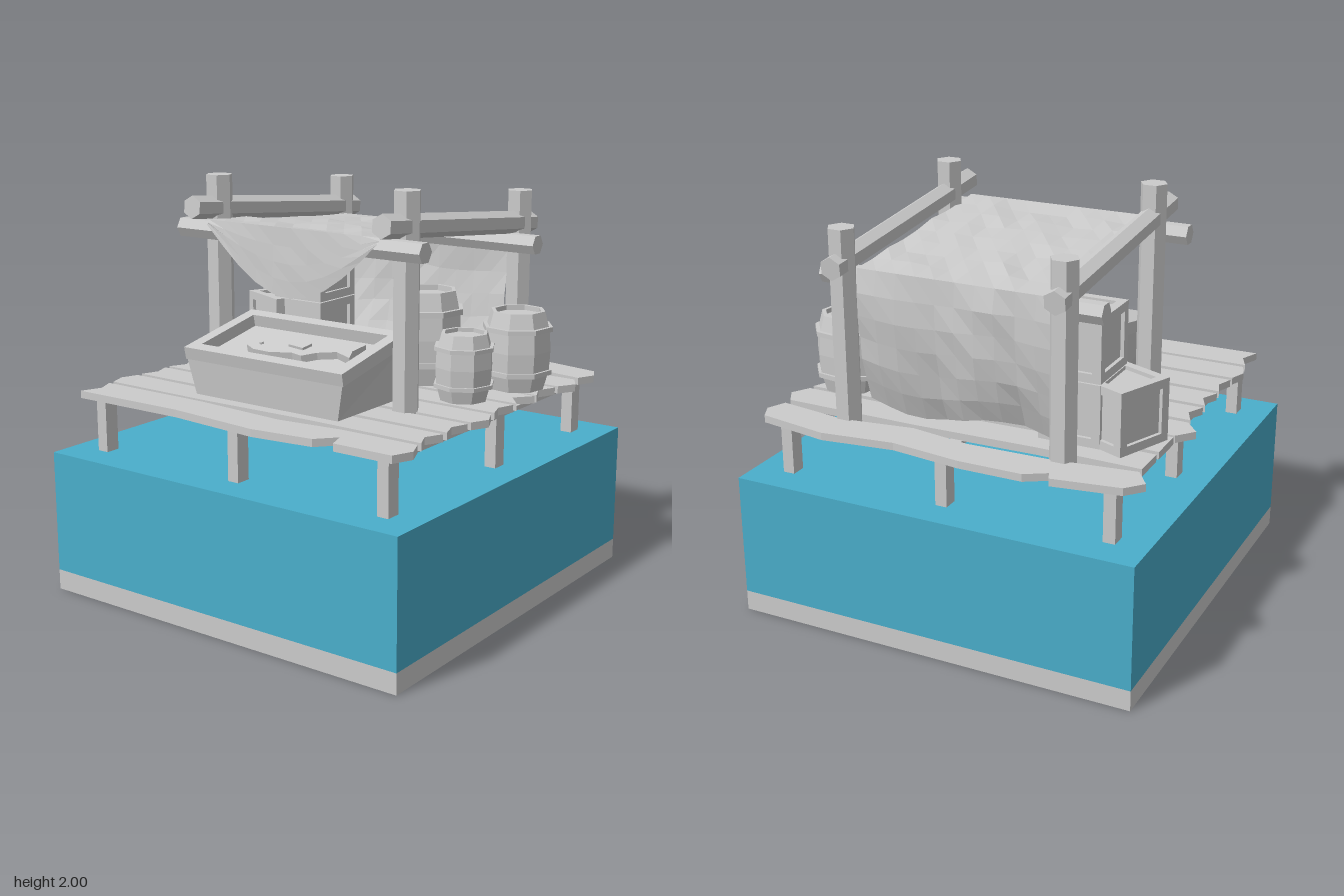
import * as THREE from 'three';

const grey = new THREE.MeshStandardMaterial({ color: 0xcccccc, flatShading: true });
const blue = new THREE.MeshStandardMaterial({ color: 0x4aaecb, flatShading: true });
const cloth = new THREE.MeshStandardMaterial({ color: 0xcccccc, flatShading: true, side: THREE.DoubleSide });

export function createModel() {
  const model = new THREE.Group();
  const add = (name, geo, x = 0, y = 0, z = 0, parent = model, mat = grey) => {
    const m = new THREE.Mesh(geo, mat);
    m.name = name;
    m.position.set(x, y, z);
    parent.add(m);
    return m;
  };
  const box = (w, h, d) => new THREE.BoxGeometry(w, h, d);
  const shapeOf = (pts) => new THREE.Shape(pts.map((p) => new THREE.Vector2(p[0], p[1])));
  // Flat slab drawn in x/z, with its top at y = 0
  const slab = (shape, depth) =>
    new THREE.ExtrudeGeometry(shape, { depth, bevelEnabled: false }).rotateX(Math.PI / 2);

  // Ground and water block
  add('seabed', box(2, 0.1, 2), 0, 0.05, 0);
  add('water', box(2, 0.6, 2), 0, 0.4, 0, model, blue);

  // Pilings and the joists they carry
  for (const x of [-0.82, 0, 0.82]) {
    for (const z of [-0.81, -0.065, 0.81]) add('piling', box(0.058, 0.27, 0.075), x, 0.815, z);
    add('joist', box(x ? 0.078 : 0.06, 0.022, 1.66), x, 0.955, 0);
  }

  // Deck planks: near edge, far edge, and x of the middle of each end
  const planks = [
    [-0.69, -0.52, -0.9, 0.95], [-0.49, -0.31, -0.9, 0.86], [-0.29, -0.12, -0.97, 0.83],
    [-0.09, 0.08, -0.86, 0.87], [0.11, 0.28, -0.86, 0.94], [0.31, 0.48, -0.87, 0.87],
    [0.51, 0.68, -0.93, 0.86],
  ];
  for (const [a, b, l, r] of planks) {
    const m = (a + b) / 2;
    const s = shapeOf([[-0.9, a], [-0.4, a + 0.01], [0.2, a - 0.005], [0.9, a], [r, m], [0.9, b],
      [0.3, b - 0.01], [-0.3, b + 0.005], [-0.9, b], [l, m]]);
    add('plank', slab(s, 0.036), 0, 1, 0);
  }
  // Warped, split outer planks
  add('frontPlank', slab(shapeOf([[-0.9, 0.71], [-0.3, 0.71], [0.18, 0.745], [0.5, 0.71], [0.9, 0.71],
    [0.94, 0.8], [0.9, 0.9], [0.6, 0.9], [0.57, 0.81], [0.49, 0.9], [0.18, 0.935], [-0.3, 0.89],
    [-0.9, 0.9], [-0.86, 0.8]]), 0.036), 0, 1, 0);
  add('backPlank', slab(shapeOf([[-0.9, -0.9], [-0.58, -0.95], [-0.56, -0.9], [-0.46, -0.96], [-0.15, -0.96],
    [0.2, -0.915], [0.55, -0.96], [0.9, -0.9], [0.94, -0.82], [0.9, -0.73], [0.55, -0.78], [0.2, -0.73],
    [-0.1, -0.78], [-0.5, -0.77], [-0.9, -0.72], [-0.97, -0.82]]), 0.036), 0, 1, 0);

  // Hexagonal poles of the awning frame
  const pole = (name, r, a, b, spin) => {
    const A = new THREE.Vector3(...a), B = new THREE.Vector3(...b);
    const m = add(name, new THREE.CylinderGeometry(r, r, A.distanceTo(B), 6).rotateY(spin));
    m.position.copy(A).lerp(B, 0.5);
    m.quaternion.setFromUnitVectors(new THREE.Vector3(0, 1, 0), B.sub(A).normalize());
  };
  for (const x of [-0.547, 0.543]) {
    pole('frontPost', 0.066, [x, 0.966, 0.27], [x, 2, 0.27], Math.PI / 6);
    pole('backPost', 0.066, [x, 0.966, -0.73], [x, 1.905, -0.73], Math.PI / 6);
    pole('sideRail', 0.056, [x, 1.735, -0.83], [x, 1.86, 0.47], 0);
  }
  pole('frontRail', 0.051, [-0.7, 1.745, 0.36], [0.7, 1.745, 0.36], 0);
  pole('backRail', 0.051, [-0.7, 1.655, -0.64], [0.7, 1.655, -0.64], 0);

  // Awning cloth: curved front flap, sloping roof, hanging back sheet
  const awning = new THREE.PlaneGeometry(2, 1, 10, 18);
  const pos = awning.attributes.position;
  const wobble = (i, j) => { const n = Math.sin(i * 127.1 + j * 311.7) * 43758.5; return n - Math.floor(n) - 0.5; };
  for (let k = 0; k < pos.count; k++) {
    const i = k % 11, j = Math.floor(k / 11), u = i / 5 - 1, n = wobble(i, j);
    let y, z;
    if (j < 4) {
      const t = 1 - j / 4;
      y = 1.79 - t * (0.015 + 0.3 * Math.cos(u * Math.PI / 2));
      z = 0.415 + 0.012 * t + n * 0.008;
    } else if (j <= 12) {
      const t = (j - 4) / 8;
      y = 1.8 - 0.09 * t + (j % 8 === 4 ? 0 : n * 0.018);
      z = 0.41 - 1.1 * t;
    } else {
      const t = (j - 12) / 6;
      y = 1.71 - t * (0.68 + 0.03 * Math.sin(u * 4));
      z = -0.7 - 0.02 * Math.sin(t * Math.PI) + 0.09 * t * t + n * 0.02 + 0.015 * t * Math.sin(u * 7);
    }
    pos.setXYZ(k, u * 0.495, y, z);
  }
  awning.computeVertexNormals();
  add('awningCloth', awning, 0, 0, 0, model, cloth);

  // Display tray: flared body with a slanted top, a raised rim and a fish
  const stall = new THREE.Group();
  stall.name = 'displayTray';
  model.add(stall);
  const slope = (z) => 1.17 + (0.635 - z) * 0.2;
  const body = box(2, 2, 2), bp = body.attributes.position;
  for (let k = 0; k < bp.count; k++) {
    const top = bp.getY(k) > 0, front = bp.getZ(k) > 0;
    const z = front ? (top ? 0.632 : 0.615) : (top ? 0.138 : 0.155);
    bp.setXYZ(k, bp.getX(k) * (top ? 0.453 : 0.415), top ? slope(z) : 1, z);
  }
  body.computeVertexNormals();
  add('trayBody', body, 0, 0, 0, stall);
  const tilt = new THREE.Group();
  tilt.name = 'trayTop';
  tilt.position.set(0, slope(0.385), 0.385);
  tilt.rotation.x = Math.atan(0.2);
  stall.add(tilt);
  const rect = (w, h) => [[-w, -h], [w, -h], [w, h], [-w, h]];
  const rim = shapeOf(rect(0.46, 0.255));
  rim.holes.push(shapeOf(rect(0.4, 0.195)));
  add('trayRim', slab(rim, 0.06), 0, 0.058, 0, tilt);
  const fishShape = shapeOf([[-0.29, 0.01], [-0.22, -0.05], [-0.12, -0.08], [-0.03, -0.1], [0.05, -0.075],
    [0.13, -0.035], [0.2, -0.02], [0.29, -0.08], [0.26, 0], [0.28, 0.075], [0.19, 0.02], [0.1, 0.045],
    [0.04, 0.09], [-0.02, 0.065], [-0.14, 0.075], [-0.23, 0.055]]);
  const fish = add('fish', slab(fishShape, 0.035), 0.06, 0.035, 0.02, tilt);
  fish.rotation.y = 0.17;
  add('fishFin', slab(shapeOf([[-0.07, 0], [0.04, -0.025], [0.02, 0.03]]), 0.015), 0, 0.012, 0, fish);
  add('fishEye', new THREE.CylinderGeometry(0.01, 0.01, 0.012, 6), -0.22, 0.004, -0.01, fish);

  // Eight-sided barrels with hoops and a recessed lid
  const barrel = (x, z, r, h, spin) => {
    const g = new THREE.Group();
    g.name = 'barrel';
    g.position.set(x, 1, z);
    g.rotation.y = spin;
    model.add(g);
    const lathe = (pts) => new THREE.LatheGeometry(pts.map(([a, b]) => new THREE.Vector2(a * r, b * h)), 8);
    add('barrelBody', lathe([[0, 0], [0.77, 0], [0.92, 0.25], [0.95, 0.5], [0.92, 0.75], [0.77, 1],
      [0.66, 1], [0.66, 0.94], [0, 0.94]]), 0, 0, 0, g);
    for (const y of [0.2, 0.75]) {
      add('barrelHoop', lathe([[0.85, y], [1, y], [1, y + 0.06], [0.85, y + 0.06]]), 0, 0, 0, g);
    }
  };
  barrel(0.655, -0.05, 0.147, 0.32, 0.1);
  barrel(0.74, -0.395, 0.172, 0.38, 0.25);
  barrel(0.32, -0.26, 0.178, 0.455, 0.2);

  // Crates: inset panels held in a frame of square bars
  const crate = (x, y, z, spin) => {
    const g = new THREE.Group(), s = 0.3, w = 0.042, o = (s - w) / 2;
    g.name = 'crate';
    g.position.set(x, y + s / 2, z);
    g.rotation.y = spin;
    model.add(g);
    add('cratePanels', box(s - 0.036, s - 0.036, s - 0.036), 0, 0, 0, g);
    for (const a of [-o, o]) {
      for (const b of [-o, o]) {
        add('crateBar', box(s, w, w), 0, a, b, g);
        add('crateBar', box(w, s, w), a, 0, b, g);
        add('crateBar', box(w, w, s), a, b, 0, g);
      }
    }
  };
  crate(-0.69, 1, -0.43, -0.39);
  crate(-0.505, 1, -0.43, 0);
  crate(-0.505, 1.305, -0.43, 0);

  return model;
}
